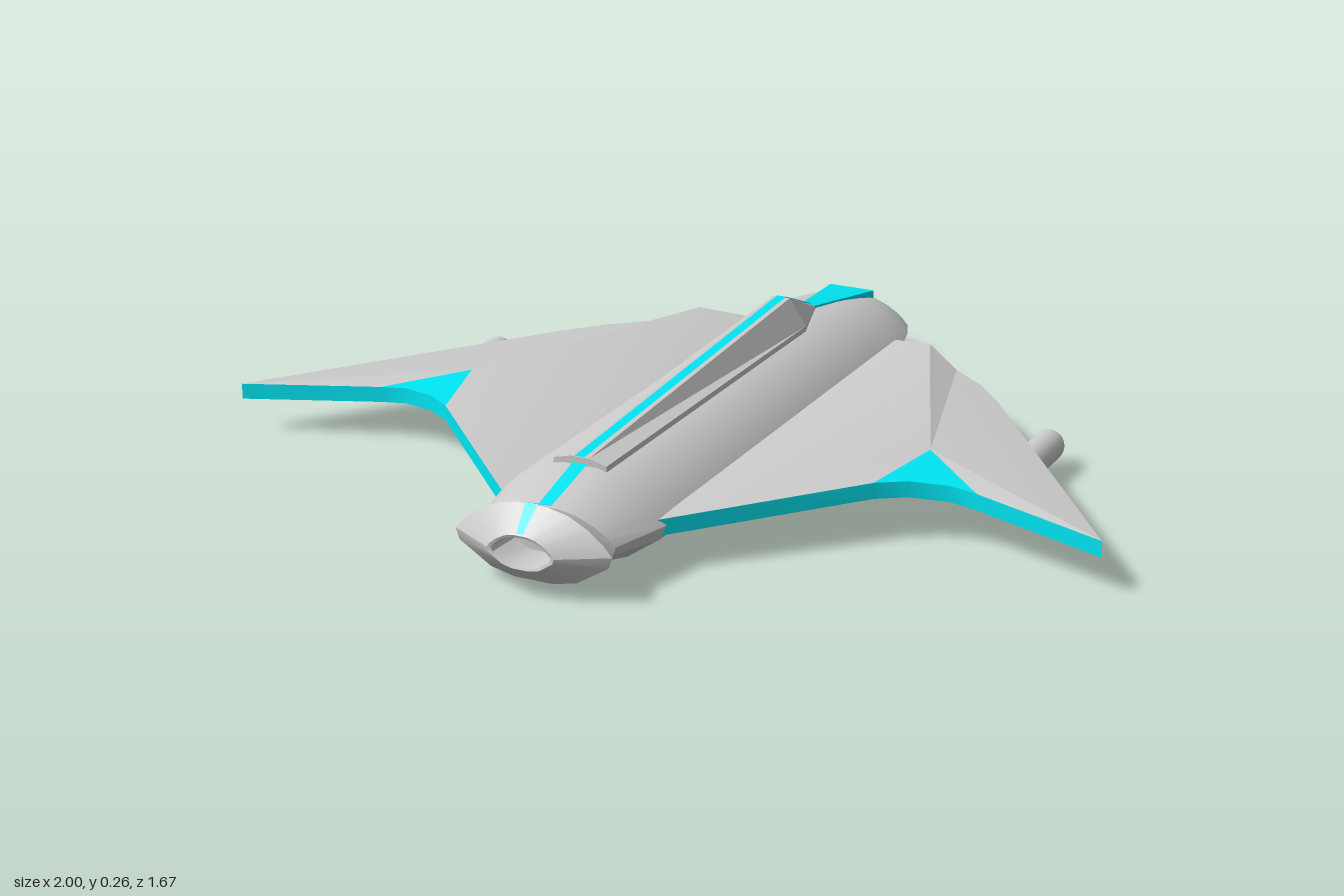
import * as THREE from 'three';
import { toCreasedNormals } from 'three/addons/utils/BufferGeometryUtils.js';

const grey = new THREE.MeshStandardMaterial({ color: 0xcccccc, side: THREE.DoubleSide });
const cyan = new THREE.MeshStandardMaterial({ color: 0x00e5f2, side: THREE.DoubleSide });

// Mesh from a list of triangles, each made of three [x, y, z] corners
function triMesh(name, tris, material, crease = 0.1) {
  const g = new THREE.BufferGeometry();
  g.setAttribute('position', new THREE.Float32BufferAttribute(tris.flat(2), 3));
  const m = new THREE.Mesh(toCreasedNormals(g, crease), material);
  m.name = name;
  return m;
}

// Skin rings that run from +z to -z; pick(column) keeps only some columns
function skin(rings, pick = () => true) {
  const out = [];
  for (let i = 0; i < rings.length - 1; i++) {
    const a = rings[i], b = rings[i + 1], n = a.length;
    for (let j = 0; j < n; j++) {
      if (!pick(j)) continue;
      const k = (j + 1) % n;
      out.push([a[j], b[j], a[k]], [a[k], b[j], b[k]]);
    }
  }
  return out;
}

function cap(ring, back) {
  const out = [];
  for (let j = 1; j < ring.length - 1; j++)
    out.push(back ? [ring[0], ring[j + 1], ring[j]] : [ring[0], ring[j], ring[j + 1]]);
  return out;
}

// Open ribbon facing up, from [z, y, halfWidth] stations
function ribbon(stations) {
  const out = [];
  for (let i = 0; i < stations.length - 1; i++) {
    const [z0, y0, w0] = stations[i], [z1, y1, w1] = stations[i + 1];
    const a = [-w0, y0, z0], b = [w0, y0, z0], c = [w1, y1, z1], d = [-w1, y1, z1];
    out.push([a, b, c], [a, c, d]);
  }
  return out;
}

// Hull cross-section, right half from bottom to top, mirrored to a full ring
const half = [[0.25, -1], [0.55, -0.85], [0.95, -0.3], [1, 0], [0.9, 0.25], [0.7, 0.6], [0.45, 0.88], [0.2, 1]];
const section = [...half, ...half.map(([x, y]) => [-x, y]).reverse()];
const hullRing = ([z, w, bot, top, tilt = 0]) => section.map(([x, y]) => {
  const h = (bot + top) / 2 + y * (top - bot) / 2;
  return [x * w, h, z + tilt * (h - bot)];
});

function wing(s) {
  const group = new THREE.Group();
  group.name = s > 0 ? 'leftWing' : 'rightWing';
  // Outline clockwise from the root's leading edge, then the raised inner point
  const top = [
    [0.17, 0.11, -0.6], [0.29, 0.14, -0.53], [0.38, 0.112, -0.47], [0.465, 0.11, -0.405],
    [0.535, 0.11, -0.325], [1, 0.11, 0.305], [0.7, 0.12, 0.21], [0.64, 0.125, 0.205],
    [0.56, 0.13, 0.23], [0.5, 0.13, 0.27], [0.17, 0.11, 0.6], [0.545, 0.143, 0.08],
  ].map(([x, y, z]) => [x * s, y, z]);
  const bottom = top.map(([x, y, z]) => [x, y - 0.035, z]);
  const face = (a, b, c) => (s > 0 ? [a, c, b] : [a, b, c]);
  const both = (list) => list.flatMap(([a, b, c]) =>
    [face(top[a], top[b], top[c]), face(bottom[a], bottom[c], bottom[b])]);

  const panels = both([[0, 1, 10], [1, 11, 10], [11, 9, 10], [1, 2, 11], [2, 3, 11], [3, 4, 11], [4, 5, 11], [5, 6, 11]]);
  const flap = both([[11, 6, 7], [11, 7, 8], [11, 8, 9]]);
  const rim = [];
  for (let i = 0; i < 10; i++) {
    rim.push(face(top[i], bottom[i], top[i + 1]), face(top[i + 1], bottom[i], bottom[i + 1]));
  }
  group.add(
    triMesh('wingPanels', panels, grey, 0.3),
    triMesh('wingFlap', flap, cyan),
    triMesh('wingEdge', rim, cyan, 0.4),
  );

  // Pod slung under the wing
  const pod = new THREE.Mesh(new THREE.CapsuleGeometry(0.035, 0.3, 8, 20), grey);
  pod.name = 'wingPod';
  pod.rotation.x = Math.PI / 2;
  pod.position.set(0.677 * s, 0.055, -0.112);
  group.add(pod);
  return group;
}

export function createModel() {
  const model = new THREE.Group();
  model.name = 'deltaCraft';

  // Hull: recessed opening, flared collar, long body, tapering end
  const hull = [
    [0.75, 0.06, 0.07, 0.125], [0.83, 0.066, 0.067, 0.128], [0.832, 0.075, 0.062, 0.133],
    [0.78, 0.175, 0.02, 0.18], [0.73, 0.155, 0.04, 0.157], [0.585, 0.19, 0, 0.193],
    [-0.5, 0.19, 0, 0.193], [-0.595, 0.19, 0.016, 0.182], [-0.68, 0.172, 0.03, 0.168],
    [-0.735, 0.15, 0.04, 0.157], [-0.79, 0.118, 0.05, 0.147, 0.25],
  ].map(hullRing);
  model.add(triMesh('hull', skin(hull.slice(1)), grey, 0.5));
  model.add(triMesh('nozzle', [...skin(hull.slice(0, 2)), ...cap(hull[0], false)], grey, 0.5));

  // Faceted tip with coloured shoulders
  const tip = [hull[hull.length - 1], hullRing([-0.836, 0.06, 0.055, 0.125, 0.4])];
  const shoulder = (j) => [4, 5, 9, 10].includes(j);
  model.add(triMesh('tip', [...skin(tip, (j) => !shoulder(j)), ...cap(tip[1], true)], grey));
  model.add(triMesh('tipShoulders', skin(tip, shoulder), cyan));

  // Spine ridge rising along the back, closed by a pointed hood
  const ridge = [[0.585, 0.06, 0.02, 0.18, 0.21], [-0.36, 0.06, 0.02, 0.18, 0.26], [-0.5, 0.02, 0.014, 0.18, 0.2]]
    .map(([z, wb, wt, yb, yt]) => [[wb, yb, z], [wb, yb + Math.min(0.02, yt - yb - 0.005), z], [wt, yt, z],
      [-wt, yt, z], [-wb, yb + Math.min(0.02, yt - yb - 0.005), z], [-wb, yb, z]]);
  model.add(triMesh('spine', [...skin(ridge), ...cap(ridge[0], false), ...cap(ridge[2], true)], grey));
  model.add(triMesh('spineStripe', ribbon([[0.587, 0.212, 0.011], [-0.36, 0.262, 0.011], [-0.502, 0.202, 0.014]]), cyan));
  model.add(triMesh('hullStripe', ribbon([[0.832, 0.137, 0.007], [0.782, 0.184, 0.014], [0.73, 0.161, 0.014], [0.585, 0.197, 0.016]]), cyan));

  // Flared window wedge between spine and tip
  const wedge = [[-0.49, 0.016, 0.18, 0.2], [-0.75, 0.055, 0.13, 0.166]]
    .map(([z, w, yb, yt]) => [[w, yb, z], [w, yt, z], [-w, yt, z], [-w, yb, z]]);
  model.add(triMesh('window', skin(wedge, (j) => j < 3), cyan));
  model.add(triMesh('windowEnd', cap(wedge[1], true), grey));

  model.add(wing(1), wing(-1));
  return model;
}
